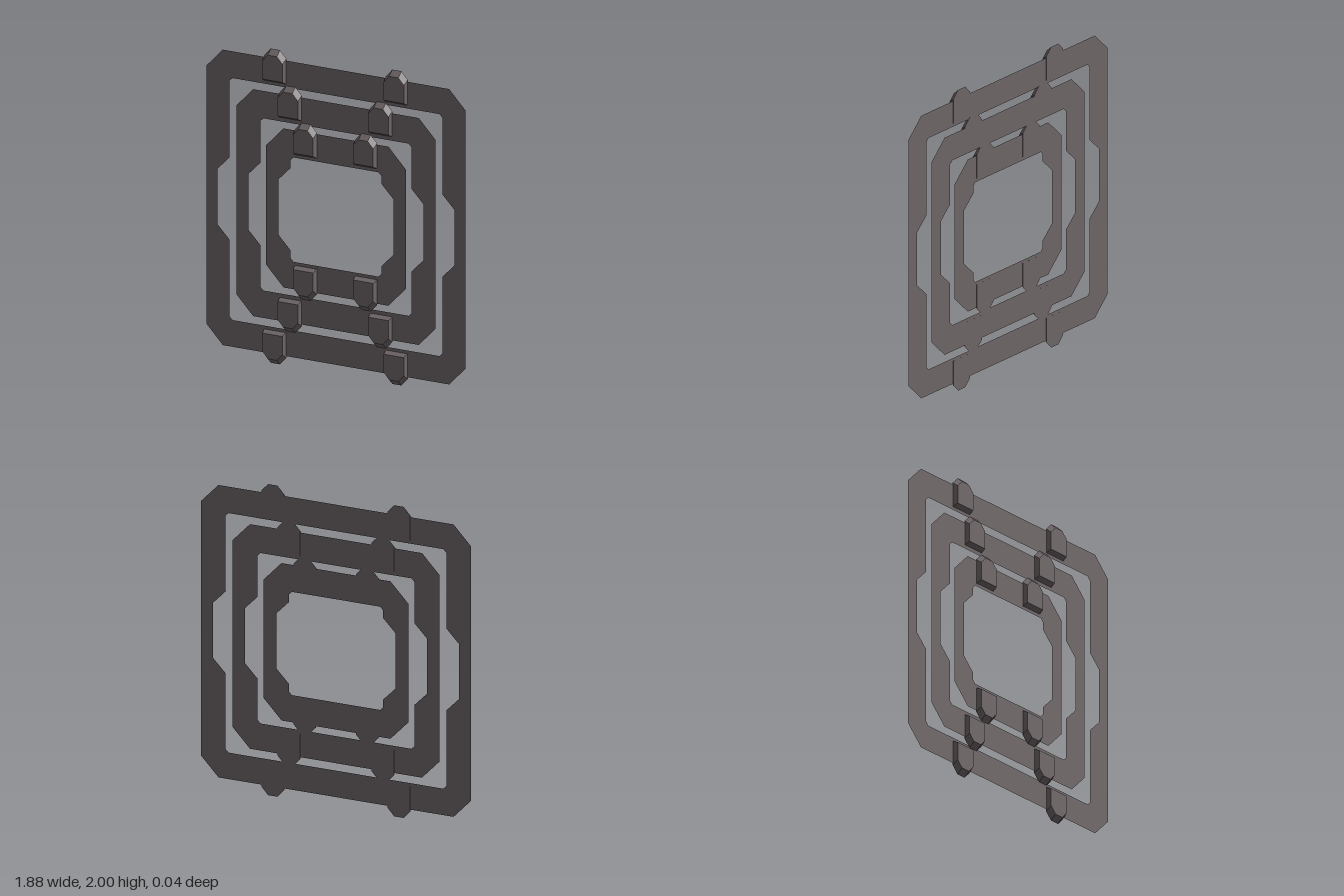
import * as THREE from 'three';

const steel = new THREE.MeshStandardMaterial({ color: 0x6e6567, side: THREE.DoubleSide });
steel.name = 'warm grey';

// Mirror a top-right quarter outline (running from the top to the right side) into a closed loop.
function mirrorQuarter(q) {
  const r = [...q].reverse();
  return [
    ...q,
    ...r.map(([x, y]) => [x, -y]),
    ...q.map(([x, y]) => [-x, -y]),
    ...r.map(([x, y]) => [-x, y]),
  ].map(([x, y]) => new THREE.Vector2(x, y));
}

// Flat bevelled frame whose opening has a notch in each side.
function makeFrame({ outer, cut, innerX, innerY }) {
  const shape = new THREE.Shape(mirrorQuarter([[outer - cut, outer], [outer, outer - cut]]));
  shape.holes.push(new THREE.Path(mirrorQuarter([
    [innerX - 0.02, innerY], [innerX, innerY - 0.02],
    [innerX, 0.263], [innerX + 0.088, 0.177],
  ])));
  const mesh = new THREE.Mesh(new THREE.ShapeGeometry(shape), steel);
  mesh.position.z = -0.016;
  return mesh;
}

// Lug: six-sided cross-sections, larger at the back than at the front.
function makeLugGeometry() {
  const section = (w, bottom, top, tip, drop, z) => [
    [-w, bottom, z], [w, bottom, z], [w, top - drop, z],
    [tip, top, z], [-tip, top, z], [-w, top - drop, z],
  ];
  const back = section(0.079, 0, 0.21, 0.033, 0.048, -0.018);
  const front = section(0.073, 0.018, 0.176, 0.033, 0.042, 0.018);
  const pos = [];
  const tri = (...p) => p.forEach((v) => pos.push(...v));
  for (let i = 0; i < 6; i++) {
    const j = (i + 1) % 6;
    tri(back[i], back[j], front[j]);
    tri(back[i], front[j], front[i]);
    if (i > 0 && i < 5) {
      tri(front[0], front[i], front[j]);
      tri(back[0], back[j], back[i]);
    }
  }
  const geo = new THREE.BufferGeometry();
  geo.setAttribute('position', new THREE.Float32BufferAttribute(pos, 3));
  geo.computeVertexNormals();
  return geo;
}

export function createModel() {
  const model = new THREE.Group();
  model.name = 'nestedFrames';
  const lugGeo = makeLugGeometry();

  const rings = [
    { name: 'outer', outer: 0.94, cut: 0.12, innerX: 0.77, innerY: 0.77, lugX: 0.44, lugY: 0.79 },
    { name: 'middle', outer: 0.722, cut: 0.122, innerX: 0.547, innerY: 0.548, lugX: 0.328, lugY: 0.572 },
    { name: 'inner', outer: 0.506, cut: 0.126, innerX: 0.328, innerY: 0.332, lugX: 0.218, lugY: 0.352 },
  ];

  for (const ring of rings) {
    const group = new THREE.Group();
    group.name = ring.name + 'Ring';
    group.position.y = 1;
    const frame = makeFrame(ring);
    frame.name = ring.name + 'Frame';
    group.add(frame);

    // Two lugs on the top bar and two on the bottom bar, pointing outward
    for (const sx of [-1, 1]) {
      for (const sy of [-1, 1]) {
        const lug = new THREE.Mesh(lugGeo, steel);
        lug.name = ring.name + (sy > 0 ? 'Top' : 'Bottom') + (sx > 0 ? 'Left' : 'Right') + 'Lug';
        lug.position.set(sx * ring.lugX, sy * ring.lugY, 0);
        if (sy < 0) lug.rotation.z = Math.PI;
        group.add(lug);
      }
    }
    model.add(group);
  }
  return model;
}
